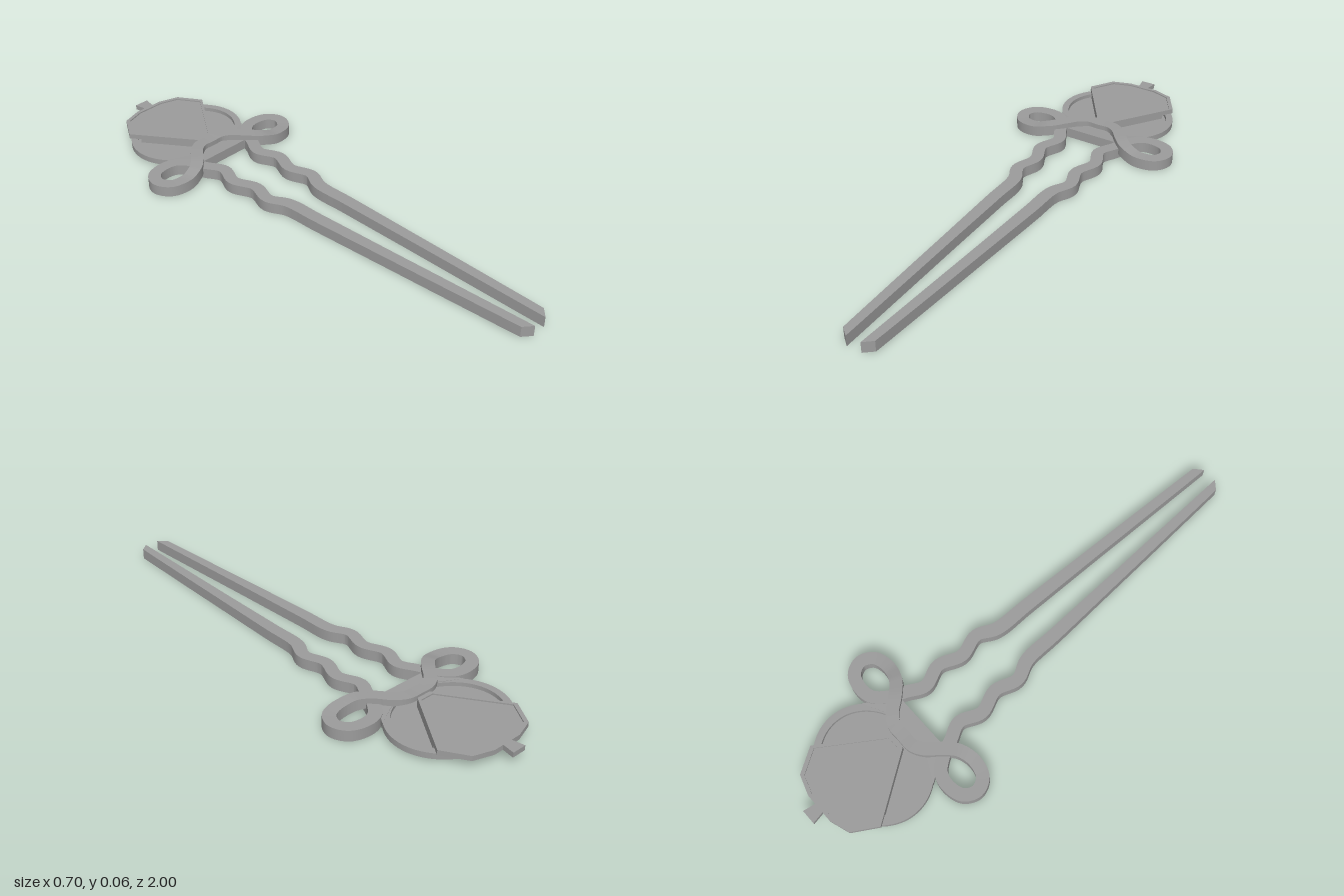
import * as THREE from 'three';
import { toCreasedNormals } from 'three/addons/utils/BufferGeometryUtils.js';

const material = new THREE.MeshStandardMaterial({ color: 0x9c9c9c });

function addMesh(group, name, geometry) {
  const mesh = new THREE.Mesh(toCreasedNormals(geometry, 0.6), material);
  mesh.name = name;
  group.add(mesh);
}

// Horizontal plate from a plan outline, between two heights
function plate(shape, y0, y1) {
  const g = new THREE.ExtrudeGeometry(shape, { depth: y1 - y0, bevelEnabled: false, curveSegments: 40 });
  return g.rotateX(-Math.PI / 2).translate(0, y0, 0);
}

// Symmetric polygon from its +x half, listed as [x, z]
function mirroredShape(half, Type = THREE.Shape) {
  const left = half.slice().reverse().map(([x, z]) => [-x, z]);
  return new Type([...half, ...left].map(([x, z]) => new THREE.Vector2(x, -z)));
}

function ellipse(rx, rz, z, Type = THREE.Shape) {
  return new Type().absellipse(0, -z, rx, rz, 0, Math.PI * 2);
}

// Half of the wire, from the middle of the bow to the prong tip:
// [x, z, half width, bottom, top]
const wireHalf = [
  [0, -0.567, 0.024, 0.042, 0.061],
  [0.05, -0.566, 0.024, 0.042, 0.062],
  [0.09, -0.543, 0.024, 0.038, 0.063],
  [0.13, -0.496, 0.024, 0.028, 0.063],
  [0.175, -0.455, 0.024, 0.015, 0.058],
  [0.237, -0.438, 0.024, 0.003, 0.046],
  [0.3, -0.455, 0.024, 0, 0.042],
  [0.324, -0.503, 0.024, 0, 0.042],
  [0.3, -0.55, 0.024, 0, 0.042],
  [0.24, -0.567, 0.024, 0, 0.042],
  [0.19, -0.555, 0.024, 0, 0.042],
  [0.15, -0.51, 0.024, 0, 0.042],
  [0.122, -0.45, 0.024, 0, 0.042],
  [0.092, -0.385, 0.024, 0, 0.042],
  [0.121, -0.3, 0.024, 0, 0.042],
  [0.091, -0.21, 0.024, 0, 0.042],
  [0.115, -0.12, 0.024, 0, 0.042],
  [0.083, -0.045, 0.026, 0, 0.042],
  [0.078, 0.1, 0.025, 0, 0.042],
  [0.064, 0.5, 0.021, 0, 0.042],
  [0.046, 0.985, 0.017, 0, 0.042],
];

// Sweep a rectangular section along the whole mirrored wire
function wireGeometry() {
  const rows = [...wireHalf.slice(1).reverse().map(([x, ...r]) => [-x, ...r]), ...wireHalf];
  const path = new THREE.CatmullRomCurve3(rows.map(r => new THREE.Vector3(r[0], 0, r[1])));
  const size = new THREE.CatmullRomCurve3(rows.map(r => new THREE.Vector3(r[2], r[3], r[4])), false, 'catmullrom', 0.3);
  const steps = (rows.length - 1) * 7;
  const pos = [], index = [];
  for (let i = 0; i <= steps; i++) {
    const p = path.getPoint(i / steps), s = size.getPoint(i / steps);
    const t = path.getTangent(i / steps);
    const end = i === 0 || i === steps;
    for (const [side, y] of [[-1, s.y], [1, s.y], [1, s.z], [-1, s.z]]) {
      const x = p.x - side * s.x * t.z;
      // Slanted prong tips
      const slant = end ? (Math.abs(x) > Math.abs(p.x) ? -0.015 : 0.015) : 0;
      pos.push(x, Math.max(0, y), p.z + side * s.x * t.x + slant);
    }
    if (i < steps) for (let k = 0; k < 4; k++) {
      const a = i * 4 + k, b = i * 4 + (k + 1) % 4;
      index.push(a, a + 4, b, b, a + 4, b + 4);
    }
  }
  const e = steps * 4;
  index.push(0, 1, 2, 0, 2, 3, e, e + 2, e + 1, e, e + 3, e + 2);
  const g = new THREE.BufferGeometry();
  g.setAttribute('position', new THREE.Float32BufferAttribute(pos, 3));
  // Make sure the faces point outwards
  let volume = 0;
  const [a, b, c] = [0, 1, 2].map(() => new THREE.Vector3());
  for (let i = 0; i < index.length; i += 3) {
    [a, b, c].forEach((v, k) => v.fromArray(pos, index[i + k] * 3));
    volume += a.dot(b.cross(c));
  }
  g.setIndex(volume < 0 ? index.reverse() : index);
  return g;
}

// Bridge that grows thicker from the medallion towards the prongs
function bridgeGeometry() {
  const g = plate(mirroredShape([
    [0.118, -0.483], [0.2, -0.6], [0.15, -0.575], [0.09, -0.545],
  ]), 0, 1);
  const p = g.attributes.position;
  for (let i = 0; i < p.count; i++) {
    const k = (p.getZ(i) + 0.6) / 0.117;
    p.setY(i, p.getY(i) > 0.5 ? 0.036 + 0.006 * k : 0.014 - 0.011 * k);
  }
  return g;
}

export function createModel() {
  const group = new THREE.Group();
  group.name = 'hairPin';

  addMesh(group, 'bowAndProngs', wireGeometry());
  addMesh(group, 'bridge', bridgeGeometry());

  // Oval medallion with a raised rim
  const rim = ellipse(0.237, 0.2, -0.71);
  rim.holes.push(ellipse(0.21, 0.175, -0.71, THREE.Path));
  addMesh(group, 'medallionRim', plate(rim, 0.014, 0.036));
  addMesh(group, 'medallionFloor', plate(ellipse(0.211, 0.176, -0.71), 0.014, 0.021));

  // Shield on the medallion: core, shallow panel and raised border
  const outline = [[0.03, -0.595], [0.195, -0.835], [0.137, -0.928], [0.06, -0.953]];
  const inset = outline.map(([x, z]) => [x * 0.92, -0.79 + (z + 0.79) * 0.92]);
  const border = mirroredShape(outline);
  border.holes.push(mirroredShape(inset, THREE.Path));
  addMesh(group, 'shieldCore', plate(mirroredShape([
    [0.03, -0.595], [0.168, -0.796], [0.1, -0.87], [0.04, -0.884],
  ]), 0.02, 0.037));
  addMesh(group, 'shieldPanel', plate(mirroredShape(inset), 0.036, 0.05));
  addMesh(group, 'shieldBorder', plate(border, 0.036, 0.055));

  // Tab at the top of the shield
  addMesh(group, 'tab', plate(mirroredShape([[0.019, -0.945], [0.029, -1]]), 0.036, 0.055));

  return group;
}
